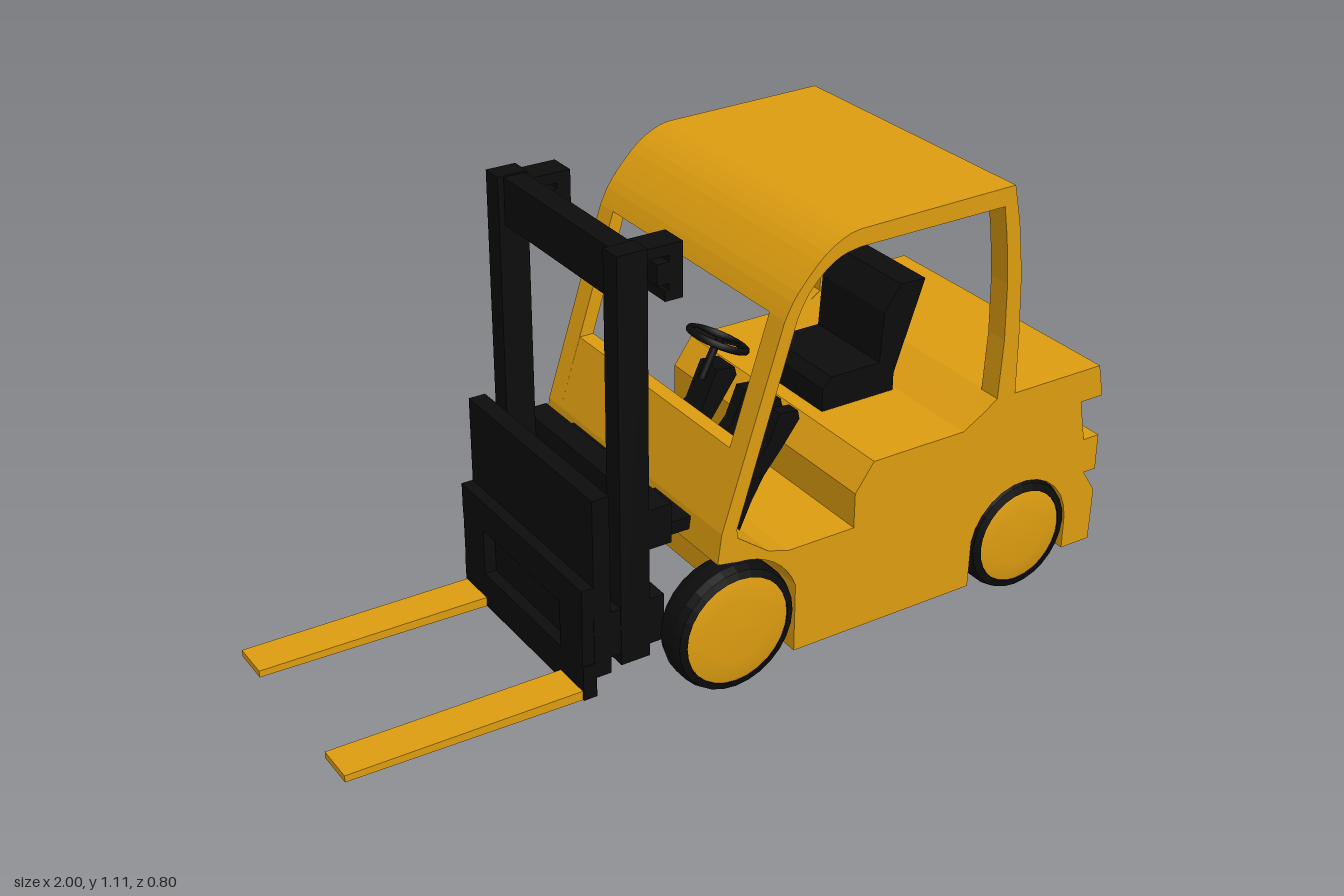
import * as THREE from 'three';

const yellow = new THREE.MeshStandardMaterial({ color: 0xdc9c10 });
yellow.name = 'body yellow';
const black = new THREE.MeshStandardMaterial({ color: 0x0c0c0c });
black.name = 'matt black';

const V = (list) => list.map(([x, y]) => new THREE.Vector2(x, y));

// Points on an arc from angle a to b (degrees)
function arc(cx, cy, r, a, b, n = 12) {
  return Array.from({ length: n + 1 }, (_, i) => {
    const t = THREE.MathUtils.degToRad(a + ((b - a) * i) / n);
    return [cx + r * Math.cos(t), cy + r * Math.sin(t)];
  });
}

export function createModel() {
  const model = new THREE.Group();
  model.name = 'forklift';

  function add(name, geometry, material, parent = model) {
    const mesh = new THREE.Mesh(geometry, material);
    mesh.name = name;
    parent.add(mesh);
    return mesh;
  }
  // Side profile in x, y extruded across from z0 to z1
  function prism(name, points, z0, z1, material) {
    const geo = new THREE.ExtrudeGeometry(new THREE.Shape(V(points)), { depth: z1 - z0, bevelEnabled: false });
    return add(name, geo.translate(0, 0, z0), material);
  }
  function box(name, x0, x1, y0, y1, z0, z1, material) {
    const geo = new THREE.BoxGeometry(x1 - x0, y1 - y0, z1 - z0);
    return add(name, geo.translate((x0 + x1) / 2, (y0 + y1) / 2, (z0 + z1) / 2), material);
  }

  const W = 0.383; // half width of the body
  const IN = 0.325; // inside of the side frames

  // Body with wheel arches and stepped tail
  prism('body', [
    [0.09, 0.05], [0.605, 0.05], [0.608, 0.17],
    ...arc(0.755, 0.145, 0.15, 170, 0),
    [0.905, 0.06], [0.992, 0.06], [0.995, 0.2], [0.95, 0.27], [0.945, 0.36],
    [0.925, 0.465], [0.992, 0.465], [0.975, 0.55], [0.66, 0.55], [0.62, 0.525], [0.56, 0.49],
    [0.3, 0.49], [0.25, 0.42], [0.25, 0.33], [0.065, 0.33], [0.01, 0.348],
    [-0.075, 0.41], [-0.115, 0.43], [-0.125, 0.355],
    ...arc(-0.075, 0.17, 0.175, 88, 20, 8),
  ], -W, W, yellow);

  // Roof curves: outside and inside of the cab frame
  const roofOuter = new THREE.SplineCurve(V([[0.04, 0.91], [0.065, 0.957], [0.105, 1.005], [0.15, 1.047], [0.2, 1.073], [0.235, 1.08]]))
    .getPoints(12).map((p) => [p.x, p.y]);
  const roofInner = new THREE.SplineCurve(V([[0.075, 0.91], [0.1, 0.957], [0.14, 1.0], [0.185, 1.028], [0.235, 1.038]]))
    .getPoints(12).map((p) => [p.x, p.y]);
  const frame = [
    [-0.125, 0.355], [-0.115, 0.43], ...roofOuter,
    [0.662, 1.086], [0.683, 0.99], [0.7, 0.86], [0.708, 0.7], [0.71, 0.545],
    [0.62, 0.525], [0.656, 0.55], [0.664, 0.7], [0.66, 0.845], [0.648, 0.96], [0.635, 1.04],
    ...roofInner.slice().reverse(), [-0.075, 0.43], [-0.07, 0.4],
  ];
  prism('leftCabFrame', frame, IN, W, yellow);
  prism('rightCabFrame', frame, -W, -IN, yellow);
  prism('roof', [...roofOuter, [0.662, 1.086], [0.672, 1.04], [0.635, 1.04], ...roofInner.slice().reverse()], -IN, IN, yellow);
  prism('frontPanel', [[-0.125, 0.355], [-0.115, 0.43], [-0.058, 0.605], [-0.02, 0.605], [-0.075, 0.43], [-0.07, 0.4]], -IN, IN, yellow);

  // Tail lamp blocks
  for (const s of [1, -1]) {
    const [a, b] = [s * 0.235, s * W].sort((p, q) => p - q);
    box(s > 0 ? 'leftTailLamp' : 'rightTailLamp', 0.935, 0.993, 0.26, 0.355, a, b, yellow);
  }

  // Wheels: chamfered tyre and a slightly domed disc
  function wheel(name, x, y, r, disc, zIn, zOut, side) {
    const group = new THREE.Group();
    group.name = name;
    const tyre = new THREE.LatheGeometry(V([
      [0.001, zIn], [r * 0.82, zIn], [r * 0.95, zIn + 0.012], [r, zIn + 0.035],
      [r, zOut - 0.025], [r * 0.96, zOut - 0.006], [disc, zOut], [disc, zOut - 0.012], [0.001, zOut - 0.012],
    ]), 28).toNonIndexed();
    tyre.computeVertexNormals();
    add('tyre', tyre, black, group);
    add('wheelDisc', new THREE.LatheGeometry(V([[disc, zOut - 0.012], [disc, zOut - 0.004], [disc * 0.6, zOut], [0, zOut + 0.002]]), 28), yellow, group);
    group.rotation.x = side * Math.PI / 2;
    group.position.set(x, y, 0);
    model.add(group);
  }
  for (const s of [1, -1]) {
    const label = s > 0 ? 'left' : 'right';
    wheel(label + 'FrontWheel', -0.075, 0.17, 0.16, 0.136, 0.295, 0.395, s);
    wheel(label + 'RearWheel', 0.755, 0.147, 0.147, 0.122, 0.285, 0.392, s);
  }

  // Seat
  prism('seatCushion', [[0.34, 0.488], [0.55, 0.488], [0.55, 0.575], [0.365, 0.575], [0.34, 0.55]], -0.125, 0.125, black);
  prism('seatBack', [[0.505, 0.565], [0.515, 0.705], [0.56, 0.768], [0.632, 0.766], [0.555, 0.55], [0.54, 0.5]], -0.125, 0.125, black);

  // Control levers and their base
  prism('leverBase', [[-0.06, 0.38], [0, 0.355], [0.03, 0.42], [0.07, 0.49], [0, 0.49], [0, 0.43]], 0.115, 0.285, black);
  for (const z of [0.133, 0.205, 0.272]) {
    prism('controlLever', [[0, 0.48], [0.06, 0.48], [0.11, 0.54], [0.155, 0.6], [0.15, 0.622], [0.1, 0.628], [0.07, 0.555]], z - 0.017, z + 0.017, black);
  }

  // Steering column and wheel
  prism('columnBase', [[-0.06, 0.38], [0, 0.355], [0.03, 0.42], [0.085, 0.5], [0.155, 0.6], [0.15, 0.622], [0.1, 0.628], [0.06, 0.54], [0, 0.49], [0, 0.43]], -0.035, 0.035, black);
  const steering = new THREE.Group();
  steering.name = 'steeringWheel';
  add('rim', new THREE.TorusGeometry(0.071, 0.009, 8, 24).rotateX(Math.PI / 2), black, steering);
  for (let i = 0; i < 3; i++) {
    const spoke = new THREE.BoxGeometry(0.07, 0.008, 0.016).translate(0.035, 0, 0);
    add('spoke', spoke.rotateY((i * Math.PI * 2) / 3), black, steering);
  }
  add('steeringShaft', new THREE.CylinderGeometry(0.01, 0.01, 0.1, 10).translate(0, -0.05, 0), black, steering);
  steering.position.set(0.125, 0.686, 0);
  steering.rotation.z = -0.46;
  model.add(steering);

  // Mast, tilt arms and forks, mirrored
  for (const s of [1, -1]) {
    const label = s > 0 ? 'left' : 'right';
    const part = (name, x0, x1, y0, y1, a, b, m = black) =>
      box(label + name, x0, x1, y0, y1, Math.min(s * a, s * b), Math.max(s * a, s * b), m);
    part('MastUpright', -0.315, -0.24, 0.1, 1.108, 0.227, 0.282);
    part('MastBracketTop', -0.24, -0.145, 1.075, 1.1, 0.2, 0.27);
    part('MastBracketBack', -0.18, -0.145, 0.97, 1.08, 0.2, 0.27);
    part('MastBracketFoot', -0.19, -0.145, 0.97, 0.995, 0.2, 0.27);
    part('MastBracketPin', -0.21, -0.17, 1.01, 1.06, 0.2, 0.27);
    part('TiltMount', -0.24, -0.18, 0.38, 0.48, 0.11, 0.26);
    part('TiltArm', -0.19, -0.1, 0.385, 0.417, 0.11, 0.26);
    part('CarriageRoller', -0.345, -0.2, 0.13, 0.25, 0.2, 0.28);
    prism(label + 'Fork', [[-1, 0.052], [-0.41, 0.04], [-0.41, 0.064], [-1, 0.069]],
      s > 0 ? 0.178 : -0.278, s > 0 ? 0.278 : -0.178, yellow);
  }
  box('mastTopBeam', -0.3, -0.245, 0.99, 1.105, -0.23, 0.23, black);
  box('mastMiddleBeam', -0.24, -0.18, 0.38, 0.48, -0.28, 0.28, black);
  box('mastLowerBeam', -0.3, -0.25, 0.13, 0.25, -0.23, 0.23, black);
  box('carriagePlate', -0.385, -0.342, 0.09, 0.55, -0.282, 0.282, black);
  box('carriageUpperBar', -0.415, -0.38, 0.25, 0.33, -0.282, 0.282, black);
  box('carriageLowerBar', -0.415, -0.38, 0.04, 0.13, -0.282, 0.282, black);
  for (const z of [-0.23, 0.23]) box('forkShank', -0.415, -0.38, 0.04, 0.33, z - 0.05, z + 0.05, black);

  // The whole truck stands turned very slightly
  model.rotation.y = -0.0136;
  model.position.z = -0.005;
  const root = new THREE.Group();
  root.name = 'forkliftTruck';
  root.add(model);
  return root;
}
